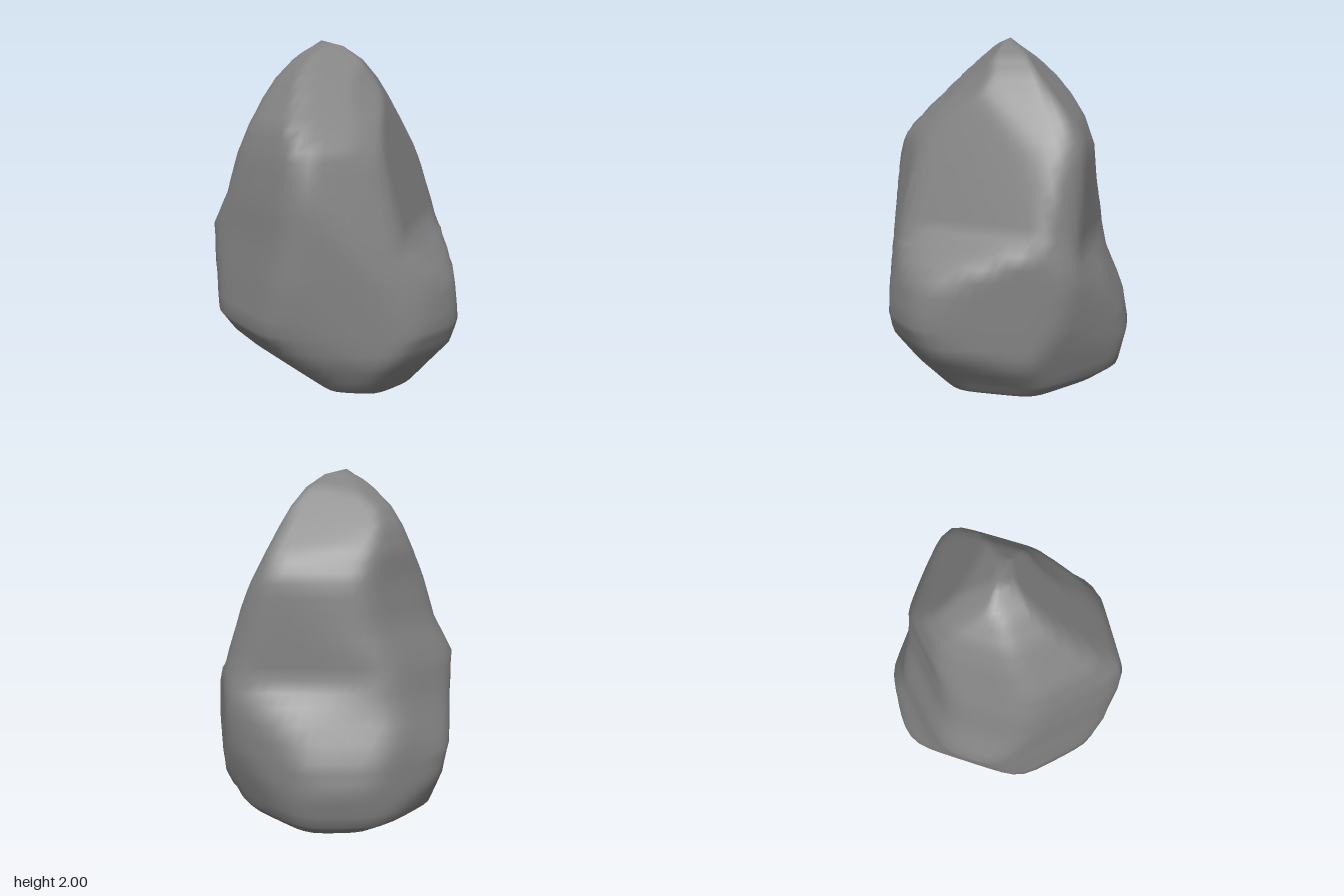
import * as THREE from 'three';

// Each row: height, then the extent of that slice in eight directions,
// every 45 degrees from +x (left) through +z (front), -x and -z.
const SLICES = [
  [0.04, 0.26, 0.23, 0.10, 0.10, 0.10, 0.23, 0.31, 0.31],
  [0.12, 0.45, 0.45, 0.38, 0.26, 0.30, 0.50, 0.54, 0.48],
  [0.21, 0.51, 0.53, 0.53, 0.36, 0.56, 0.64, 0.66, 0.58],
  [0.40, 0.66, 0.67, 0.63, 0.56, 0.61, 0.73, 0.70, 0.64],
  [0.55, 0.70, 0.73, 0.67, 0.68, 0.65, 0.73, 0.67, 0.67],
  [0.80, 0.66, 0.71, 0.70, 0.65, 0.68, 0.63, 0.56, 0.70],
  [1.00, 0.59, 0.66, 0.70, 0.62, 0.70, 0.58, 0.53, 0.63],
  [1.20, 0.52, 0.59, 0.70, 0.60, 0.59, 0.50, 0.50, 0.60],
  [1.42, 0.42, 0.50, 0.69, 0.56, 0.52, 0.46, 0.48, 0.57],
  [1.57, 0.34, 0.39, 0.61, 0.51, 0.45, 0.45, 0.42, 0.51],
  [1.70, 0.27, 0.27, 0.47, 0.41, 0.39, 0.41, 0.34, 0.41],
  [1.80, 0.21, 0.19, 0.35, 0.33, 0.33, 0.34, 0.26, 0.32],
  [1.90, 0.13, 0.13, 0.22, 0.22, 0.24, 0.20, 0.14, 0.18],
  [1.97, 0.03, 0.03, 0.06, 0.10, 0.16, 0.10, 0.04, 0.03],
];

// Flat chipped facets: plane normal, plane distance, and the height
// below which the facet flares out into the bulge under it.
const FACETS = [
  [0.98, 0, -0.19, 0.625, 0], // left flank
  [0.535, 0, -0.845, 0.66, 0], // back left corner
  [-0.507, 0, -0.862, 0.70, 0], // back right corner
  [0.196, 0, 0.98, 0.65, 0], // broad front face
  [0.493, 0.25, 0.834, 0.855, 0], // upper front left face
  [0.934, 0.284, 0.216, 0.75, 1.0], // upper left face
  [0.335, 0.70, 0.635, 1.40, 0], // front slope of the peak
  [0.06, 0.65, -0.757, 1.34, 0], // back slope of the peak
  [0.12, 0, -0.993, 0.5, 0.9], // upright back face
  [0.747, -0.31, -0.588, 0.475, 0], // lower back left chip
];
const SEGMENTS = 64;
const STEPS = 3; // rings per slice
const BODY_SHARPNESS = 20; // higher gives crisper corners on the body
const FACET_SHARPNESS = 60; // and crisper edges around the facets

// Radius of a slightly rounded outline bounded by the extents and facets
function sliceRadius(y, extents, angle) {
  let body = 0;
  extents.forEach((extent, i) => {
    const c = Math.cos(angle - (i * Math.PI) / 4);
    if (c > 0) body += (c / extent) ** BODY_SHARPNESS;
  });
  let sum = body ** (FACET_SHARPNESS / BODY_SHARPNESS);
  for (const [nx, ny, nz, d, from] of FACETS) {
    const c = nx * Math.cos(angle) + nz * Math.sin(angle);
    const reach = d - ny * y + 0.7 * Math.max(0, from - y);
    if (c > 0) sum += (c / reach) ** FACET_SHARPNESS;
  }
  return sum ** (-1 / FACET_SHARPNESS);
}

function boulderGeometry() {
  const positions = [];
  const indices = [];

  // Rings of vertices, bottom to top, blended between neighbouring slices
  const rings = (SLICES.length - 1) * STEPS + 1;
  for (let k = 0; k < rings; k++) {
    const lower = SLICES[Math.floor(k / STEPS)];
    const upper = SLICES[Math.ceil(k / STEPS)];
    const t = (k % STEPS) / STEPS;
    const [y, ...extents] = lower.map((v, i) => v + (upper[i] - v) * t);
    for (let s = 0; s < SEGMENTS; s++) {
      const a = (s / SEGMENTS) * Math.PI * 2;
      const r = sliceRadius(y, extents, a);
      positions.push(r * Math.cos(a), y, r * Math.sin(a));
    }
  }

  // Lowest point and peak
  const bottom = positions.length / 3;
  positions.push(0.04, 0, -0.12);
  const peak = bottom + 1;
  positions.push(-0.09, 2, 0);

  // Side walls and the two end fans
  const last = (rings - 1) * SEGMENTS;
  for (let s = 0; s < SEGMENTS; s++) {
    const n = (s + 1) % SEGMENTS;
    for (let base = 0; base < last; base += SEGMENTS) {
      const a = base + s, b = base + n;
      const c = a + SEGMENTS, d = b + SEGMENTS;
      indices.push(a, c, b, b, c, d);
    }
    indices.push(bottom, s, n, peak, last + n, last + s);
  }

  const geometry = new THREE.BufferGeometry();
  geometry.setAttribute('position', new THREE.Float32BufferAttribute(positions, 3));
  geometry.setIndex(indices);
  geometry.computeVertexNormals();
  return geometry;
}

export function createModel() {
  const group = new THREE.Group();
  group.name = 'rock';
  const boulder = new THREE.Mesh(
    boulderGeometry(),
    new THREE.MeshStandardMaterial({ color: 0x828282 })
  );
  boulder.name = 'boulder';
  group.add(boulder);
  return group;
}
